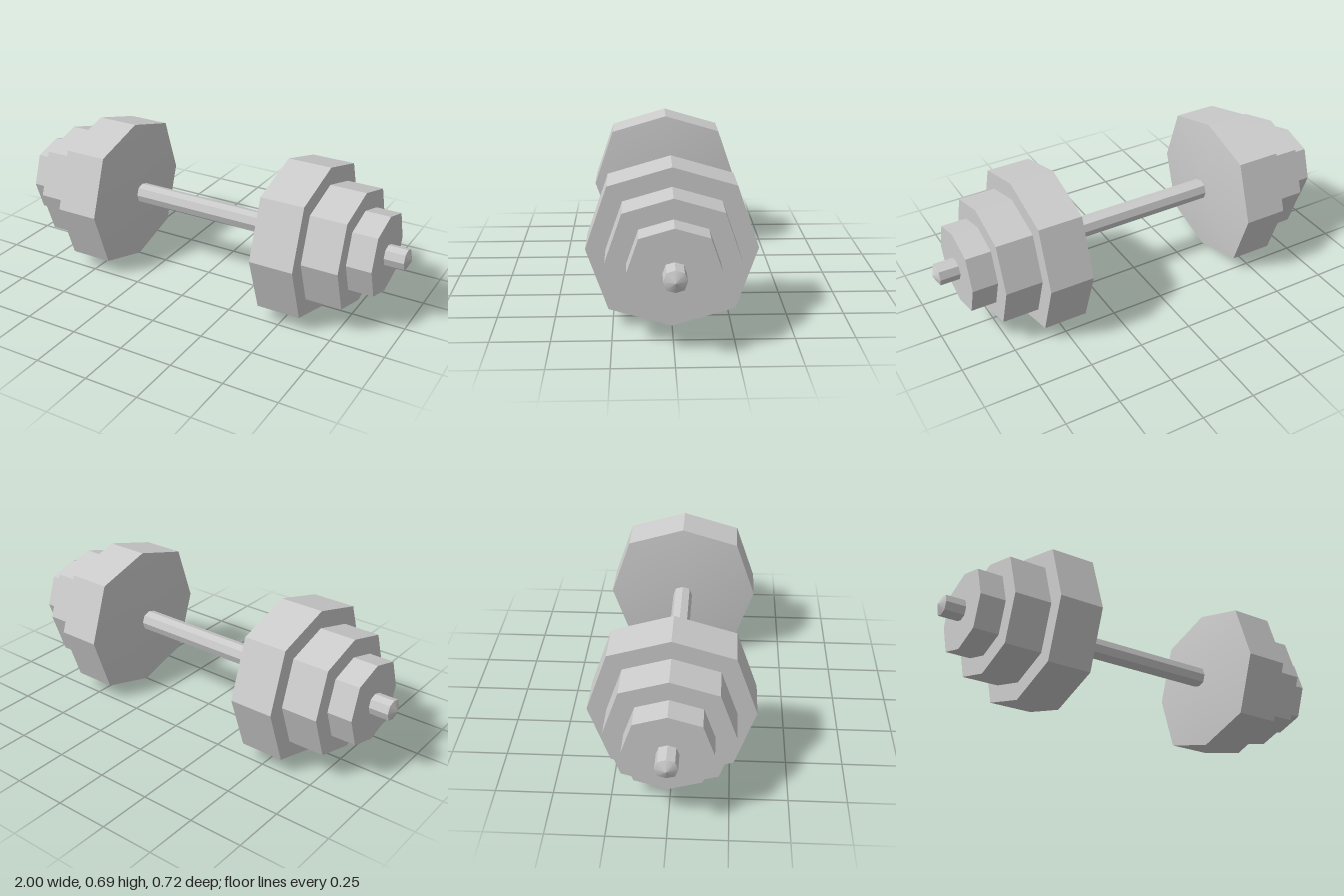
import * as THREE from 'three';
import { toCreasedNormals } from 'three/addons/utils/BufferGeometryUtils.js';

const material = new THREE.MeshStandardMaterial({ color: 0xcccccc });
const AXIS_HEIGHT = 0.345;

// Eight-sided solid along x from [radius, x] pairs, with slightly pushed-out corners
function octagonSolid(name, profile) {
  const points = profile.map(([r, x]) => new THREE.Vector2(r, x));
  const geometry = new THREE.LatheGeometry(points, 8).rotateZ(-Math.PI / 2);
  const p = geometry.attributes.position;
  for (let i = 0; i < p.count; i++) {
    const y = p.getY(i), z = p.getZ(i);
    const diagonal = Math.abs(y * z) > 1e-6;
    p.setY(i, y * (diagonal ? 1.093 : 1));
    p.setZ(i, z * (diagonal ? 1.093 : 1.04));
  }
  const mesh = new THREE.Mesh(toCreasedNormals(geometry, 0.5), material);
  mesh.name = name;
  return mesh;
}

// Three plates stepping down outward; the large one has a shallow conical inner face
function weightStack(name) {
  const stack = new THREE.Group();
  stack.name = name;
  stack.add(
    octagonSolid('largePlate', [[0, 0.37], [0.345, 0.405], [0.345, 0.607], [0, 0.607]]),
    octagonSolid('mediumPlate', [[0, 0.607], [0.264, 0.607], [0.264, 0.775], [0, 0.775]]),
    octagonSolid('smallPlate', [[0, 0.775], [0.18, 0.775], [0.18, 0.89], [0, 0.89]])
  );
  return stack;
}

export function createModel() {
  const model = new THREE.Group();
  model.name = 'dumbbell';

  // Handle bar with low pointed ends
  const bar = octagonSolid('bar', [[0, -1], [0.045, -0.98], [0.045, 0.98], [0, 1]]);
  const left = weightStack('leftWeights');
  const right = weightStack('rightWeights');
  right.rotation.y = Math.PI;

  for (const part of [bar, left, right]) {
    part.position.y = AXIS_HEIGHT;
    model.add(part);
  }
  return model;
}
